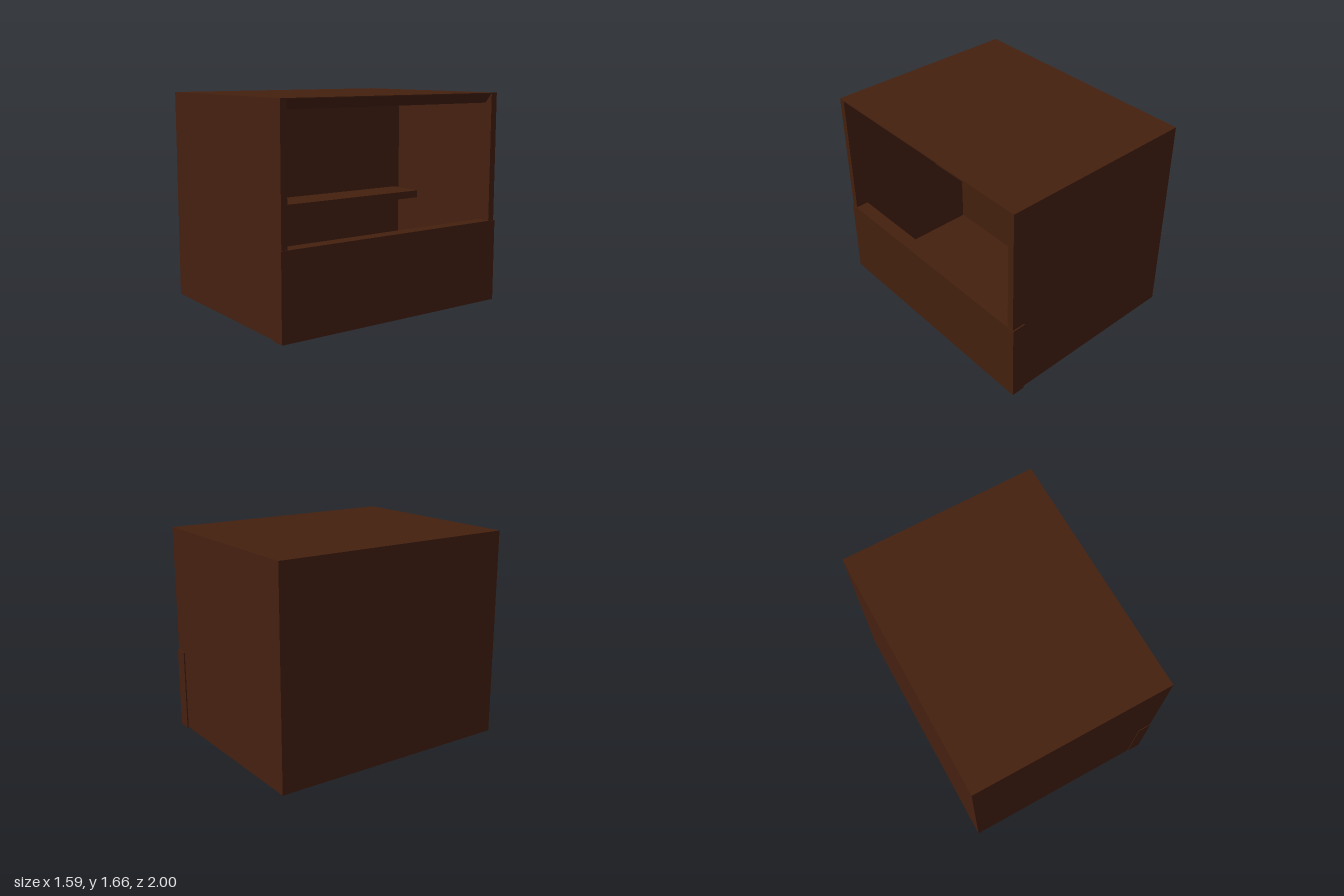
import * as THREE from 'three';

// Open-sided cabinet: the opening faces +x, with a low parapet across it.
export function createModel() {
  const group = new THREE.Group();
  group.name = 'cabinet';
  const material = new THREE.MeshStandardMaterial({ color: 0x45200f });

  // Box given by its minimum and maximum along each axis
  function box(name, [x0, x1], [y0, y1], [z0, z1]) {
    const mesh = new THREE.Mesh(new THREE.BoxGeometry(x1 - x0, y1 - y0, z1 - z0), material);
    mesh.position.set((x0 + x1) / 2, (y0 + y1) / 2, (z0 + z1) / 2);
    mesh.name = name;
    group.add(mesh);
    return mesh;
  }

  const left = -0.795, right = 0.79, top = 1.66, base = 0.005;
  const inner = -0.33; // face of the solid rear compartment
  const front = 0.945, back = -0.935; // inner faces of the side walls

  // Shell
  box('frontWall', [left, right], [base, top], [front, 0.995]);
  box('backWall', [left, right], [base, top], [-0.99, back]);
  box('rearCompartment', [left, inner], [base, top], [back, front]);
  box('floor', [inner, right], [base, 0.012], [back, front]);
  box('ceiling', [inner, right], [top - 0.006, top], [back, front]);

  // Low parapet, slightly wider than the shell
  box('parapet', [0.685, 0.795], [0, 0.65], [-1, 1]);

  // Shelf on the rear compartment
  box('shelf', [inner, -0.02], [0.74, 0.8], [-0.89, 0.915]);

  // Slanted baffles hanging from the ceiling, leaning inward as they go down
  for (const [name, x] of [['outerBaffle', right], ['innerBaffle', 0.07]]) {
    const dx = 0.065, dy = 0.075;
    const baffle = box(name, [0, 0.006], [0, Math.hypot(dx, dy)], [back, front]);
    baffle.position.x = x - dx / 2 - 0.004;
    baffle.position.y = top - dy / 2 - 0.002;
    baffle.rotation.z = -Math.atan2(dx, dy);
  }

  return group;
}
